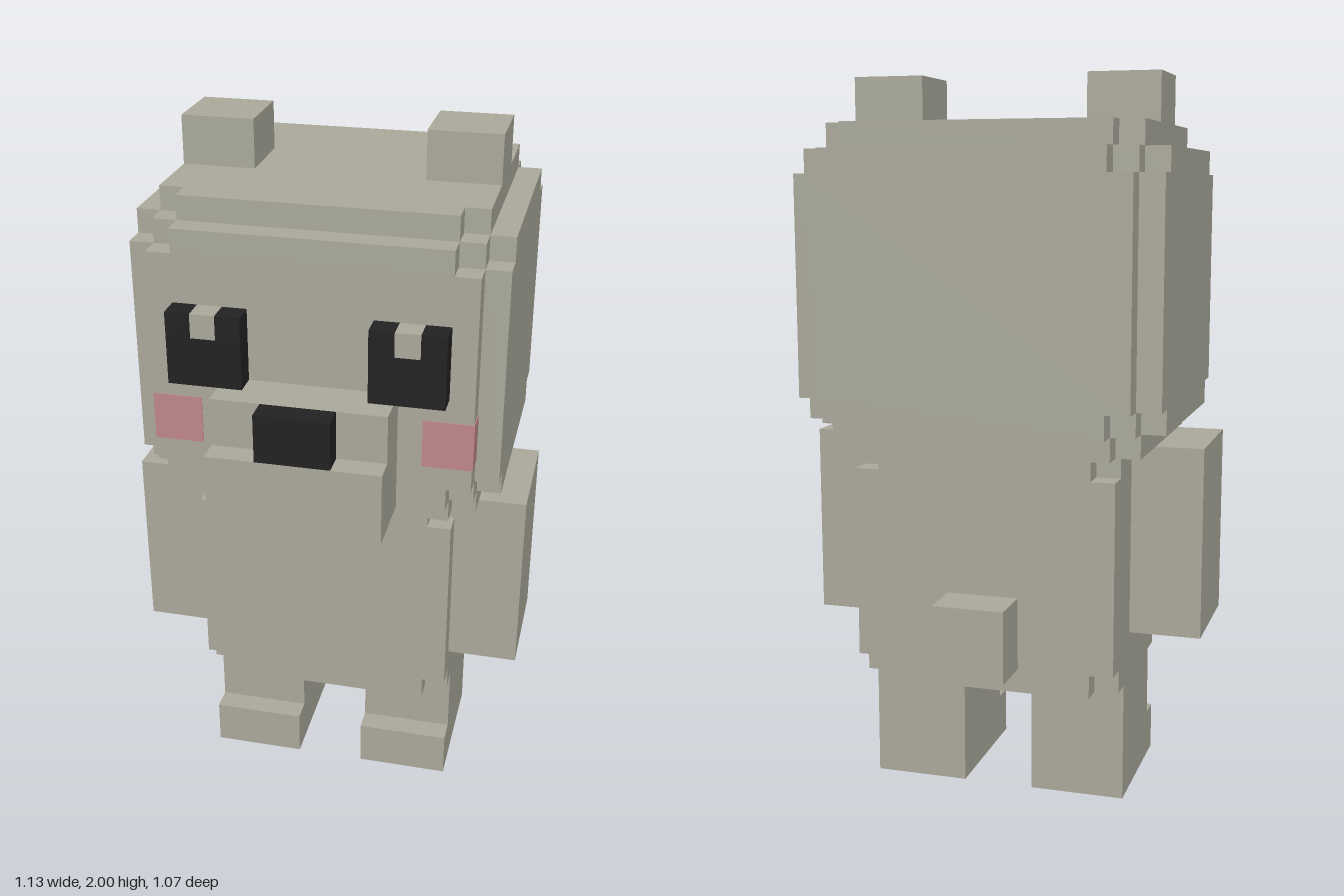
import * as THREE from 'three';

const fur = new THREE.MeshStandardMaterial({ color: 0xaba99b });
fur.name = 'fur';
const black = new THREE.MeshStandardMaterial({ color: 0x222222 });
black.name = 'black';
const pink = new THREE.MeshStandardMaterial({ color: 0xc0868c });
pink.name = 'blushPink';

// All sizes are in voxels, 15 to the unit.
function block(name, material, [x0, x1], [y0, y1], [z0, z1]) {
  const mesh = new THREE.Mesh(new THREE.BoxGeometry(x1 - x0, y1 - y0, z1 - z0), material);
  mesh.position.set((x0 + x1) / 2, (y0 + y1) / 2, (z0 + z1) / 2);
  mesh.name = name;
  return mesh;
}

// Horizontal slab whose four corners are cut into one-voxel stairs.
function slab(name, halfX, halfZ, zCentre, steps, y0, y1) {
  const corner = [[halfX, halfZ - steps]];
  for (let i = 1; i <= steps; i++) {
    corner.push([halfX - i, halfZ - steps + i - 1], [halfX - i, halfZ - steps + i]);
  }
  const back = [...corner].reverse();
  const points = [[1, 1, corner], [-1, 1, back], [-1, -1, corner], [1, -1, back]]
    .flatMap(([sx, sz, pts]) => pts.map(([x, z]) => new THREE.Vector2(sx * x, sz * z)));
  const geometry = new THREE.ExtrudeGeometry(new THREE.Shape(points), { depth: y1 - y0, bevelEnabled: false });
  geometry.rotateX(-Math.PI / 2);
  const mesh = new THREE.Mesh(geometry, fur);
  mesh.position.set(0, y0, zCentre);
  mesh.name = name;
  return mesh;
}

export function createModel() {
  const model = new THREE.Group();
  model.name = 'voxelBear';

  // Head: rounded by stepping its edges and corners
  const head = new THREE.Group();
  head.name = 'head';
  head.add(
    slab('headBottom', 6.5, 5.5, -1.5, 1, 15, 16),
    slab('headLowerRim', 7.5, 6.5, -1.5, 2, 16, 17),
    slab('headMiddle', 7.5, 6.5, -1.5, 1, 17, 26),
    slab('headUpperRim', 7.5, 6.5, -1.5, 2, 26, 27),
    slab('headTop', 6.5, 5.5, -1.5, 1, 27, 28),
    block('snoutLower', fur, [-3.5, 3.5], [16, 19], [5, 8]),
    block('snoutUpper', fur, [-3.5, 3.5], [19, 21], [5, 7]),
    block('nose', black, [-1.5, 1.5], [19, 21], [7, 8]),
  );

  // Body: a box missing its eight corner voxels
  const body = new THREE.Group();
  body.name = 'body';
  body.add(
    slab('bodyBottom', 5.5, 4.5, -1.5, 1, 5, 6),
    slab('bodyMiddle', 5.5, 4.5, -1.5, 0, 6, 14),
    slab('bodyTop', 5.5, 4.5, -1.5, 1, 14, 15),
    block('tail', fur, [-1.5, 1.5], [6, 9], [-8, -6]),
  );

  // Paired parts
  for (const [side, s] of [['left', 1], ['right', -1]]) {
    const span = (a, b) => (s > 0 ? [a, b] : [-b, -a]);
    head.add(
      block(side + 'Ear', fur, span(3.5, 6.5), [28, 30], [-3, 0]),
      block(side + 'EyeLower', black, span(2.5, 5.5), [21, 23], [5, 6]),
      block(side + 'EyeInner', black, span(2.5, 3.5), [23, 24], [5, 6]),
      block(side + 'EyeOuter', black, span(4.5, 5.5), [23, 24], [5, 6]),
      block(side + 'EyeHighlight', fur, span(3.5, 4.5), [23, 24], [5, 6]),
      block(side + 'Blush', pink, span(4.5, 6.54), [18, 20], [4, 5.04]),
    );
    body.add(
      block(side + 'Arm', fur, span(5.5, 8.5), [7, 15], [-3, 2]),
      block(side + 'Leg', fur, span(1.5, 5.5), [0, 5], [-4, 1]),
      block(side + 'Foot', fur, span(1.5, 5.5), [0, 2], [1, 2]),
    );
  }

  model.add(head, body);
  model.scale.setScalar(1 / 15);
  return model;
}
